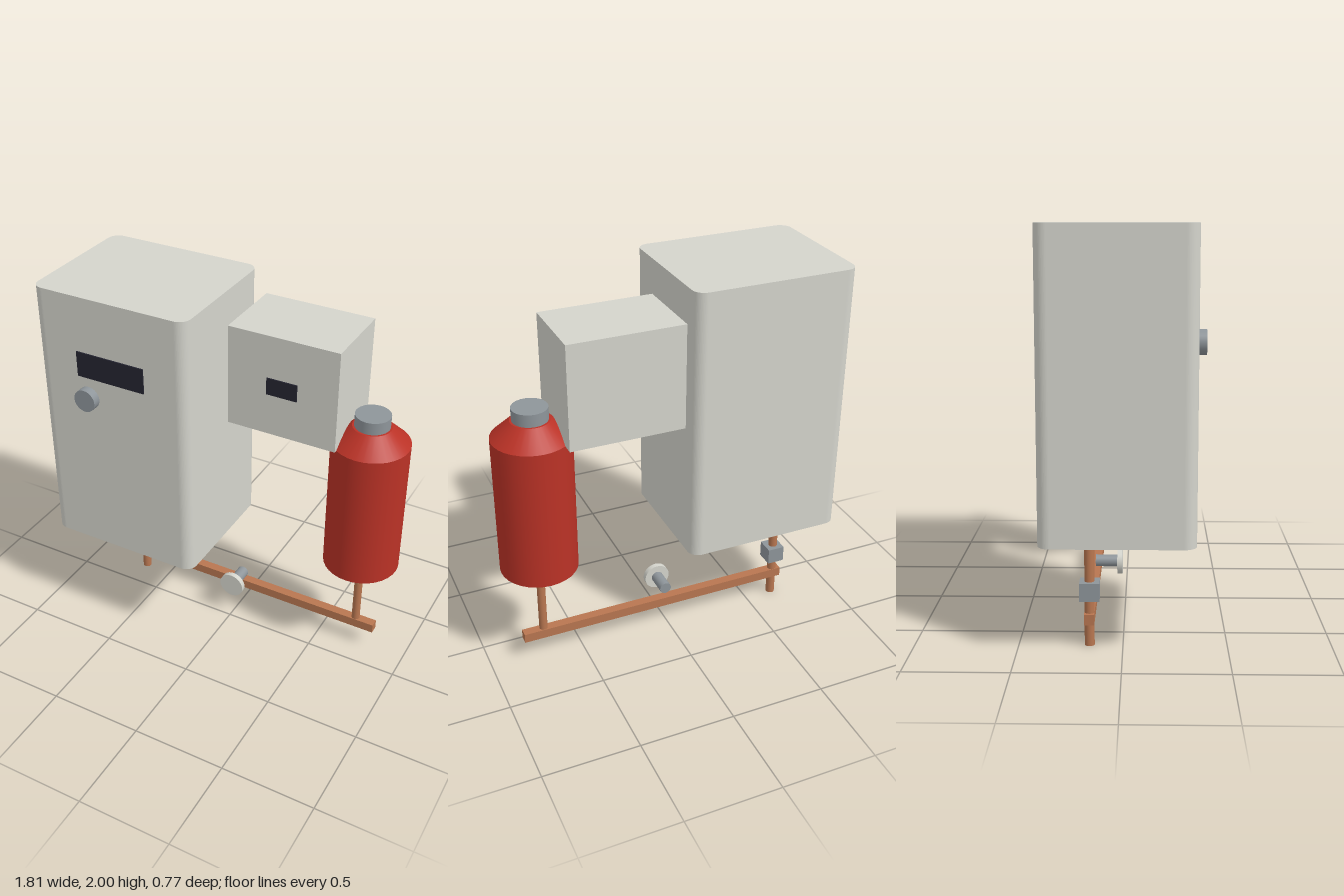
import * as THREE from 'three';

const mat = (name, color) => {
  const m = new THREE.MeshStandardMaterial({ color });
  m.name = name;
  return m;
};

export function createModel() {
  const group = new THREE.Group();
  const casing = mat('casing grey', 0xd4d4cc);
  const red = mat('vessel red', 0xba3226);
  const copper = mat('copper', 0xb87650);
  const steel = mat('steel', 0x8e959a);
  const dark = mat('display dark', 0x242430);

  const add = (name, geometry, material) => {
    const mesh = new THREE.Mesh(geometry, material);
    mesh.name = name;
    group.add(mesh);
    return mesh;
  };
  // Box given by its extents on each axis
  const box = (name, material, [x0, x1], [y0, y1], [z0, z1]) =>
    add(name, new THREE.BoxGeometry(x1 - x0, y1 - y0, z1 - z0), material)
      .position.set((x0 + x1) / 2, (y0 + y1) / 2, (z0 + z1) / 2);
  // Upright cylinder between two heights
  const upright = (name, material, r, x, z, y0, y1) =>
    add(name, new THREE.CylinderGeometry(r, r, y1 - y0, 32), material)
      .position.set(x, (y0 + y1) / 2, z);
  // Cylinder lying along z
  const facing = (name, material, r, x, y, z0, z1) =>
    add(name, new THREE.CylinderGeometry(r, r, z1 - z0, 32).rotateX(Math.PI / 2), material)
      .position.set(x, y, (z0 + z1) / 2);

  // Boiler casing: rounded footprint extruded upwards
  const w = 0.43, d = 0.3635, r = 0.06;
  const plan = new THREE.Shape();
  plan.absarc(w - r, d - r, r, 0, Math.PI / 2);
  plan.absarc(-w + r, d - r, r, Math.PI / 2, Math.PI);
  plan.absarc(-w + r, -d + r, r, Math.PI, Math.PI * 1.5);
  plan.absarc(w - r, -d + r, r, Math.PI * 1.5, Math.PI * 2);
  const shell = new THREE.ExtrudeGeometry(plan, { depth: 1.45, bevelEnabled: false, curveSegments: 8 });
  shell.rotateX(-Math.PI / 2);
  add('boilerCasing', shell, casing).position.set(-0.478, 0.55, -0.0225);
  box('boilerDisplay', dark, [-0.668, -0.285], [1.57, 1.705], [0.34, 0.348]);
  facing('boilerKnob', steel, 0.06, -0.614, 1.457, 0.34, 0.386);

  // Control box
  box('controlBox', casing, [0, 0.59], [1.322, 1.863], [-0.386, 0.022]);
  box('controlDisplay', dark, [0.215, 0.378], [1.548, 1.638], [0.021, 0.029]);

  // Expansion vessel: body, sloped shoulder and cap
  const vx = 0.705, vz = -0.16;
  upright('vesselBody', red, 0.2, vx, vz, 0.573, 1.322);
  add('vesselShoulder', new THREE.CylinderGeometry(0.1, 0.2, 0.09, 32, 1), red)
    .position.set(vx, 1.367, vz);
  upright('vesselCap', steel, 0.09, vx, vz, 1.41, 1.477);

  // Pipework
  upright('boilerPipe', copper, 0.024, -0.66, vz, 0, 0.56);
  upright('vesselPipe', copper, 0.022, vx, vz, 0.15, 0.58);
  box('manifold', copper, [-0.702, 0.816], [0.112, 0.163], [-0.185, -0.136]);
  box('valve', steel, [-0.705, -0.612], [0.23, 0.319], [-0.207, -0.111]);

  // Gauge on its stem
  facing('gaugeDial', casing, 0.07, 0, 0.208, -0.044, -0.016);
  facing('gaugeStem', steel, 0.032, 0, 0.208, -0.16, -0.043);

  return group;
}
